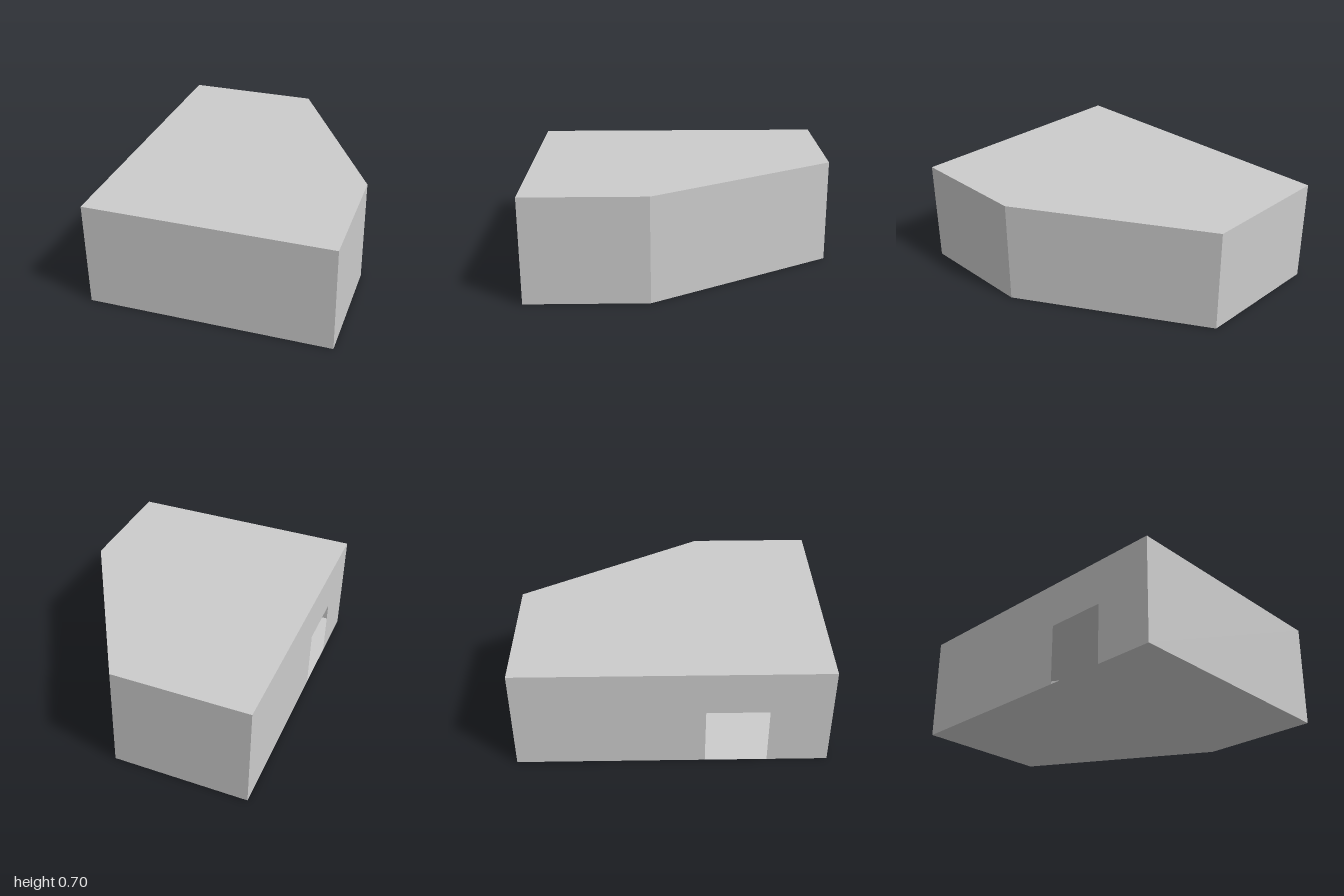
import * as THREE from 'three';

export function createModel() {
  const group = new THREE.Group();
  const material = new THREE.MeshStandardMaterial({ color: 0xcccccc, flatShading: true, side: THREE.DoubleSide });
  const height = 0.7;
  const door = { start: 1.21, end: 1.61, height: 0.4 };

  // Floor plan corners (x, z), running so that each wall faces outward
  const plan = [[-0.8, 1], [0.8, 1], [0.8, 0.2], [0.1, -1], [-0.8, -1]];
  const wallNames = ['frontWall', 'leftSideWall', 'slantedWall', 'backWall', 'doorwayWall'];

  function add(name, points) {
    const shape = new THREE.Shape(points.map(([x, y]) => new THREE.Vector2(x, y)));
    const mesh = new THREE.Mesh(new THREE.ShapeGeometry(shape), material);
    mesh.name = name;
    group.add(mesh);
    return mesh;
  }

  // Thin walls, one per plan edge; the last has a doorway cut up from the floor
  plan.forEach(([x, z], i) => {
    const [nx, nz] = plan[(i + 1) % plan.length];
    const length = Math.hypot(nx - x, nz - z);
    const opening = wallNames[i] === 'doorwayWall'
      ? [[door.start, 0], [door.start, door.height], [door.end, door.height], [door.end, 0]]
      : [];
    const wall = add(wallNames[i], [[0, 0], ...opening, [length, 0], [length, height], [0, height]]);
    wall.position.set(x, 0, z);
    wall.rotation.y = Math.atan2(z - nz, nx - x);
  });

  // Floor faces down, roof faces up
  const floor = add('floor', plan.map(([x, z]) => [x, z]));
  floor.rotation.x = Math.PI / 2;
  const roof = add('roof', plan.map(([x, z]) => [x, -z]));
  roof.rotation.x = -Math.PI / 2;
  roof.position.y = height;

  return group;
}
